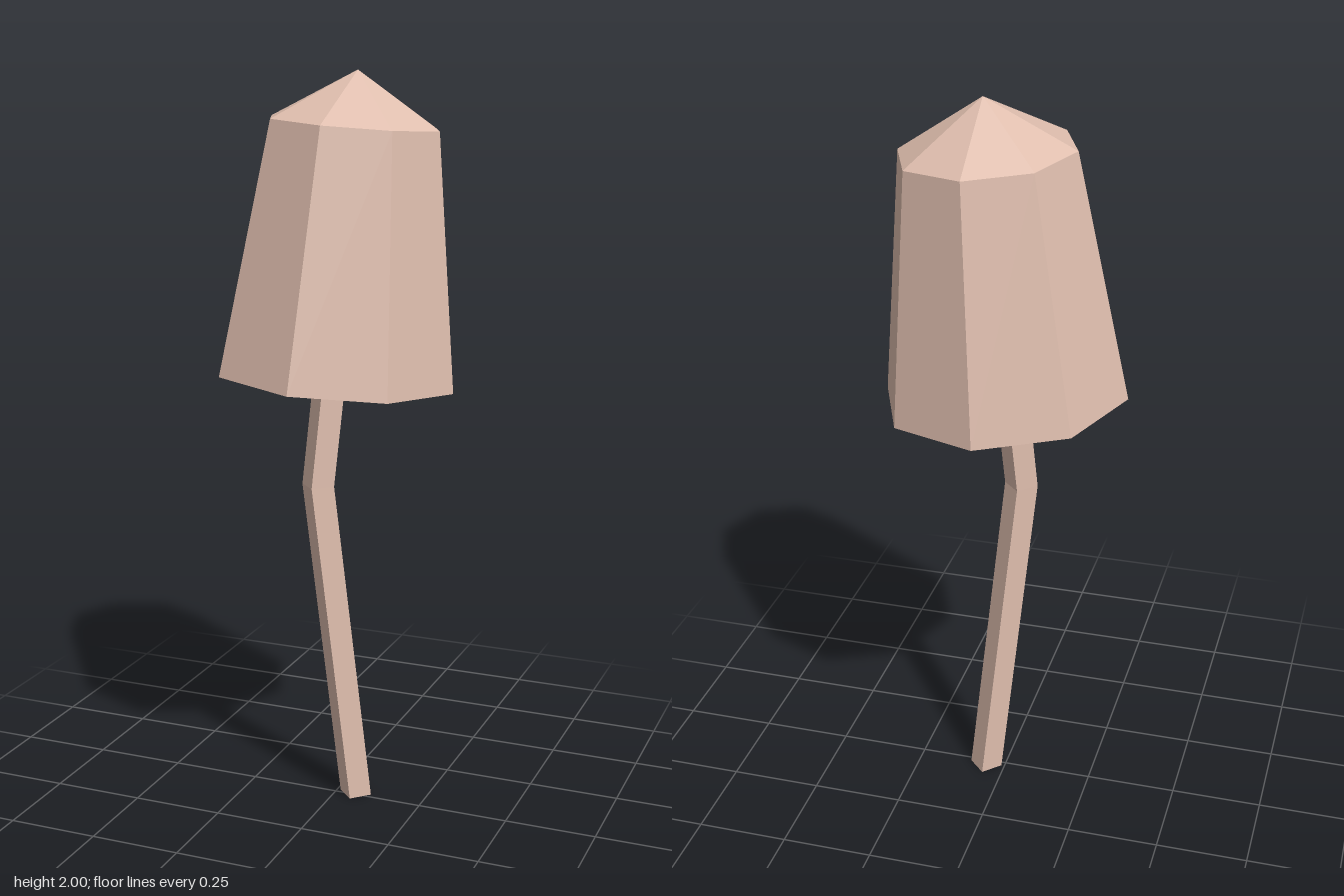
import * as THREE from 'three';

// Skin a stack of rings, listed bottom to top; a ring of radius 0 is a single point.
// Ring: [centre x, y, z, radius, slope of y along x, slope of y along z]
function loft(rings, sides) {
  const point = ([cx, cy, cz, r, sx = 0, sz = 0], i) => {
    const a = (i / sides) * Math.PI * 2;
    const dx = r * Math.cos(a), dz = r * Math.sin(a);
    return [cx + dx, cy + sx * dx + sz * dz, cz + dz];
  };
  const positions = [];
  for (let k = 0; k + 1 < rings.length; k++) {
    const low = rings[k], high = rings[k + 1];
    for (let i = 0; i < sides; i++) {
      const a = point(low, i), b = point(low, i + 1);
      const c = point(high, i), d = point(high, i + 1);
      if (low[3] > 0) positions.push(...b, ...a, ...c);
      if (high[3] > 0) positions.push(...b, ...c, ...d);
    }
  }
  const geometry = new THREE.BufferGeometry();
  geometry.setAttribute('position', new THREE.Float32BufferAttribute(positions, 3));
  geometry.computeVertexNormals();
  return geometry;
}

export function createModel() {
  const group = new THREE.Group();
  group.name = 'mushroom';

  const flesh = new THREE.MeshStandardMaterial({
    color: 0xdfbeae, flatShading: true, side: THREE.DoubleSide,
  });
  flesh.name = 'paleFlesh';

  // Tall hollow cap, leaning slightly, open underneath
  const cap = new THREE.Mesh(loft([
    [0, 1.202, 0, 0.329, -0.066, 0.038],
    [0.042, 1.865, -0.024, 0.232, -0.066, 0.038],
    [0.05, 2, -0.028, 0],
  ], 8), flesh);
  cap.name = 'cap';

  // Thin four-sided stem with one bend, running up inside the cap
  const stem = new THREE.Mesh(loft([
    [0.055, 0, -0.015, 0],
    [0.055, 0, -0.015, 0.046],
    [-0.031, 0.91, 0.049, 0.046],
    [0.045, 1.85, -0.026, 0.046],
    [0.045, 1.85, -0.026, 0],
  ], 4), flesh);
  stem.name = 'stem';

  group.add(cap, stem);
  return group;
}
